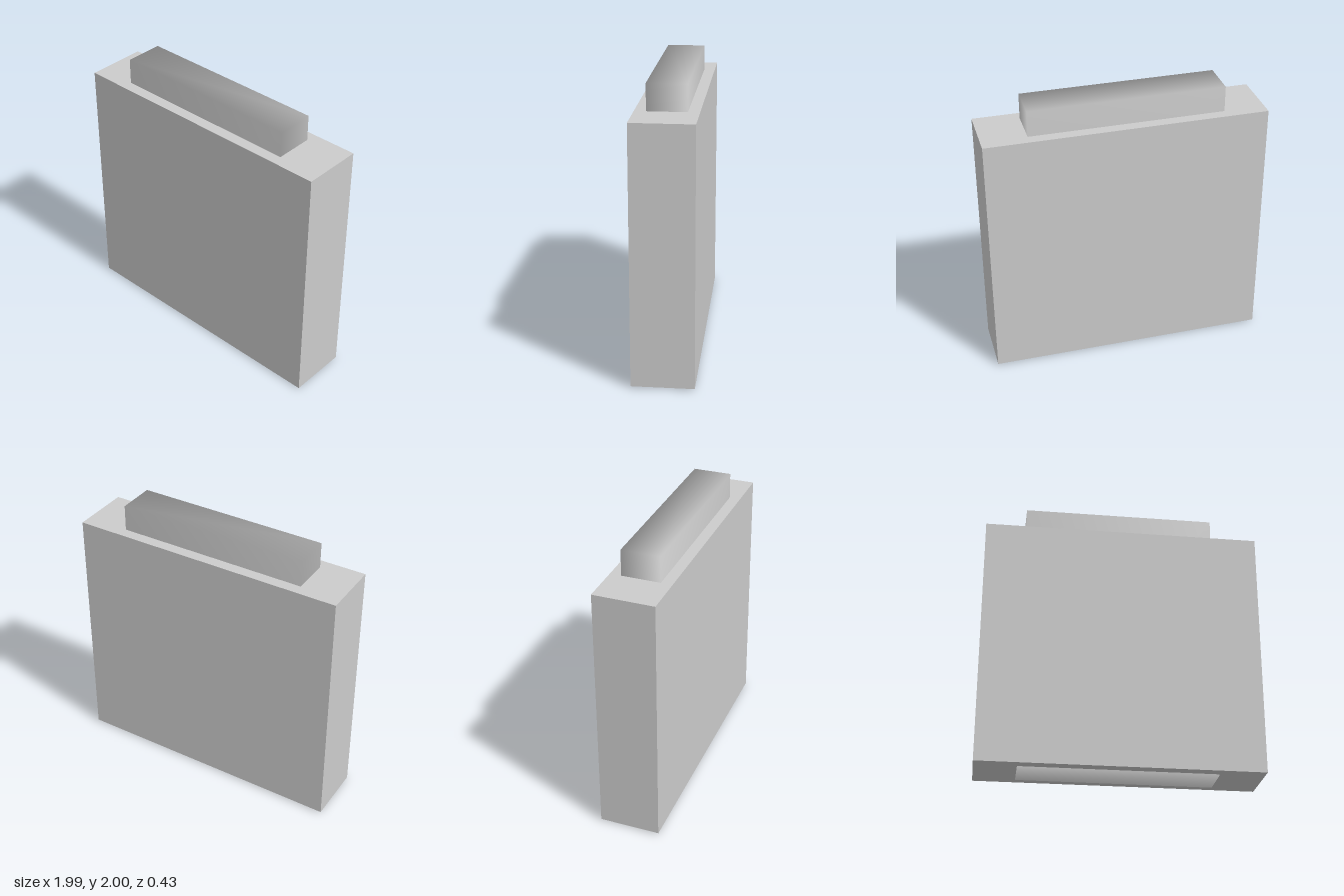
import * as THREE from 'three';
import { mergeVertices } from 'three/addons/utils/BufferGeometryUtils.js';

// Box given by its lower and upper corners
function boxBetween([x0, y0, z0], [x1, y1, z1]) {
  return new THREE.BoxGeometry(x1 - x0, y1 - y0, z1 - z0)
    .translate((x0 + x1) / 2, (y0 + y1) / 2, (z0 + z1) / 2);
}

// Share the corners of a box so its shading runs softly around the edges
function softened(geometry) {
  geometry.deleteAttribute('normal');
  geometry.deleteAttribute('uv');
  const merged = mergeVertices(geometry);
  merged.computeVertexNormals();
  return merged;
}

export function createModel() {
  const model = new THREE.Group();
  model.name = 'slabWithCore';
  const material = new THREE.MeshStandardMaterial({ color: 0xcccccc });

  // Outer slab with crisp faces
  const slab = new THREE.Mesh(boxBetween([-0.993, 0.008, -0.215], [0.993, 1.815, 0.215]), material);
  slab.name = 'slab';

  // Inner core, rising above the slab and just showing beneath it
  const core = new THREE.Mesh(softened(boxBetween([-0.7, 0, -0.136], [0.676, 2, 0.136])), material);
  core.name = 'core';

  model.add(slab, core);
  return model;
}
